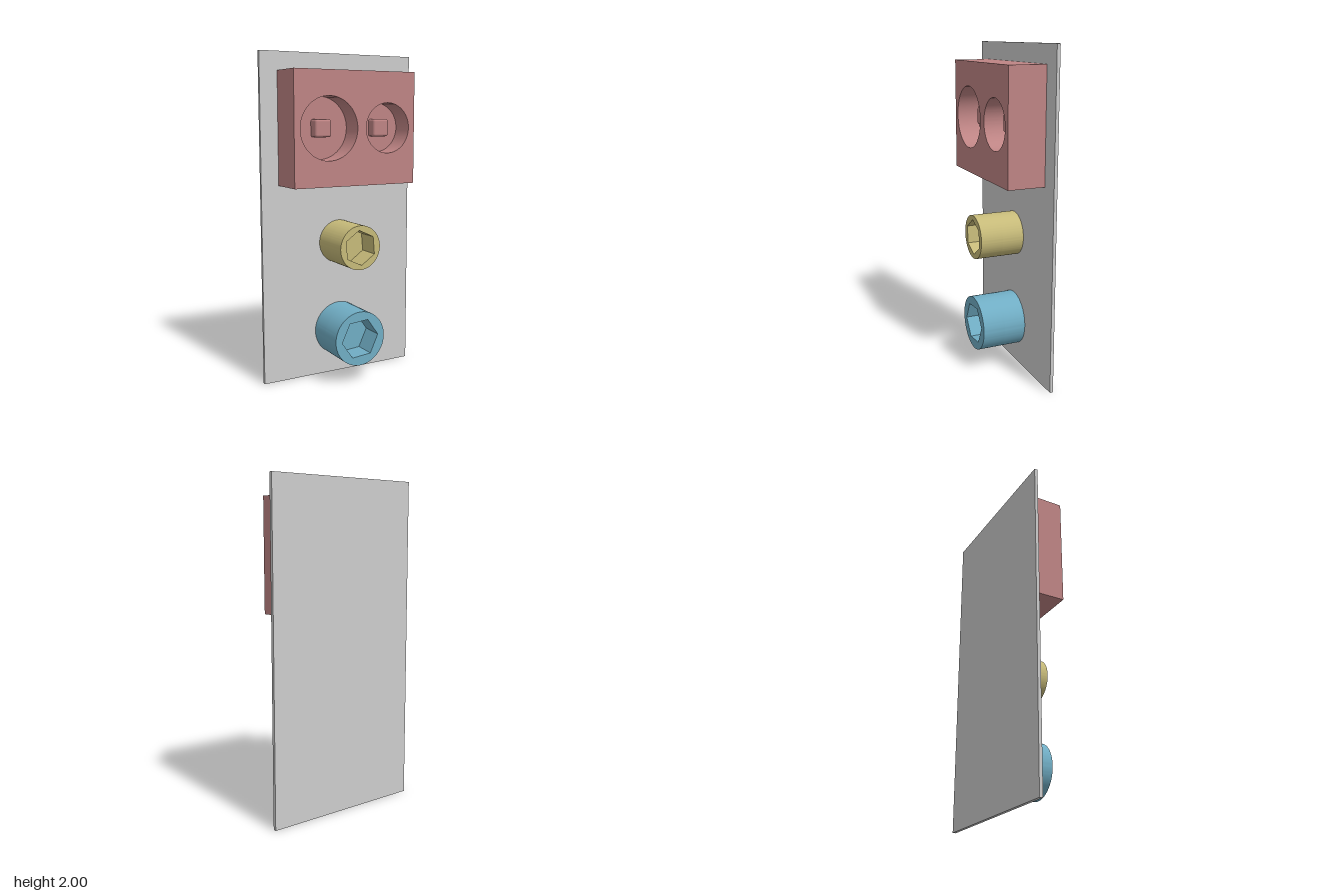
import * as THREE from 'three';
import { toCreasedNormals } from 'three/addons/utils/BufferGeometryUtils.js';
import { RoundedBoxGeometry } from 'three/addons/geometries/RoundedBoxGeometry.js';

const material = (name, color) => {
  const m = new THREE.MeshStandardMaterial({ color });
  m.name = name;
  return m;
};

const WALL = -0.127; // front face of the backing panel
const POCKET = 0.14; // depth of every recess

const circle = (x, y, r, Type = THREE.Shape) => {
  const s = new Type();
  s.absarc(x, y, r, 0, Math.PI * 2, false);
  return s;
};

const hexagon = (r, degrees) => {
  const points = [];
  for (let i = 0; i < 6; i++) {
    const a = THREE.MathUtils.degToRad(degrees + i * 60);
    points.push(new THREE.Vector2(r * Math.cos(a), r * Math.sin(a)));
  }
  return new THREE.Path(points);
};

const rectangle = (x0, y0, x1, y1) => new THREE.Shape([
  new THREE.Vector2(x0, y0), new THREE.Vector2(x1, y0),
  new THREE.Vector2(x1, y1), new THREE.Vector2(x0, y1),
]);

// Solid base plus a pierced front section, giving blind recesses
function recessedBody(name, makeOutline, holes, front, mat) {
  const group = new THREE.Group();
  group.name = name;
  const floor = front - POCKET;
  const section = (partName, shape, z0, z1) => {
    const geo = new THREE.ExtrudeGeometry(shape, { depth: z1 - z0, bevelEnabled: false, curveSegments: 64 });
    geo.translate(0, 0, z0);
    const mesh = new THREE.Mesh(toCreasedNormals(geo, 0.5), mat);
    mesh.name = partName;
    group.add(mesh);
  };
  const pierced = makeOutline();
  pierced.holes.push(...holes);
  section(name + 'Base', makeOutline(), WALL, floor);
  section(name + 'Rim', pierced, floor, front);
  return group;
}

export function createModel() {
  const model = new THREE.Group();
  model.name = 'wallPanel';
  const grey = material('panelGrey', 0xcccccc);
  const red = material('dustyRed', 0xbe8484);
  const yellow = material('mutedYellow', 0xc6ba79);
  const blue = material('softBlue', 0x70adc4);

  // Backing panel
  const panel = new THREE.Mesh(new THREE.BoxGeometry(1.032, 2, 0.02), grey);
  panel.name = 'backPanel';
  panel.position.set(0, 1, WALL - 0.01);
  model.add(panel);

  // Block with two round recesses, each with a rounded square peg
  const wells = [[-0.18, 0.187], [0.215, 0.15]];
  const wellY = 1.555, blockFront = 0.1;
  const block = recessedBody('socketBlock', () => rectangle(-0.405, 1.215, 0.405, 1.89),
    wells.map(([x, r]) => circle(x, wellY, r, THREE.Path)), blockFront, red);
  for (const [x] of wells) {
    const peg = new THREE.Mesh(new RoundedBoxGeometry(0.105, 0.105, 0.09, 3, 0.014), red);
    peg.name = 'peg';
    peg.position.set(x, wellY, blockFront - POCKET + 0.02);
    block.add(peg);
  }
  model.add(block);

  // Round knobs with hexagonal recesses: name, height, radius, hexagon radius, turn, material
  const knobs = [
    ['upperKnob', 0.847, 0.135, 0.107, 35, yellow],
    ['lowerKnob', 0.285, 0.168, 0.125, 5, blue],
  ];
  for (const [name, y, r, hexR, turn, mat] of knobs) {
    const knob = recessedBody(name, () => circle(0, 0, r), [hexagon(hexR, turn)], 0.147, mat);
    knob.position.y = y;
    model.add(knob);
  }
  return model;
}
